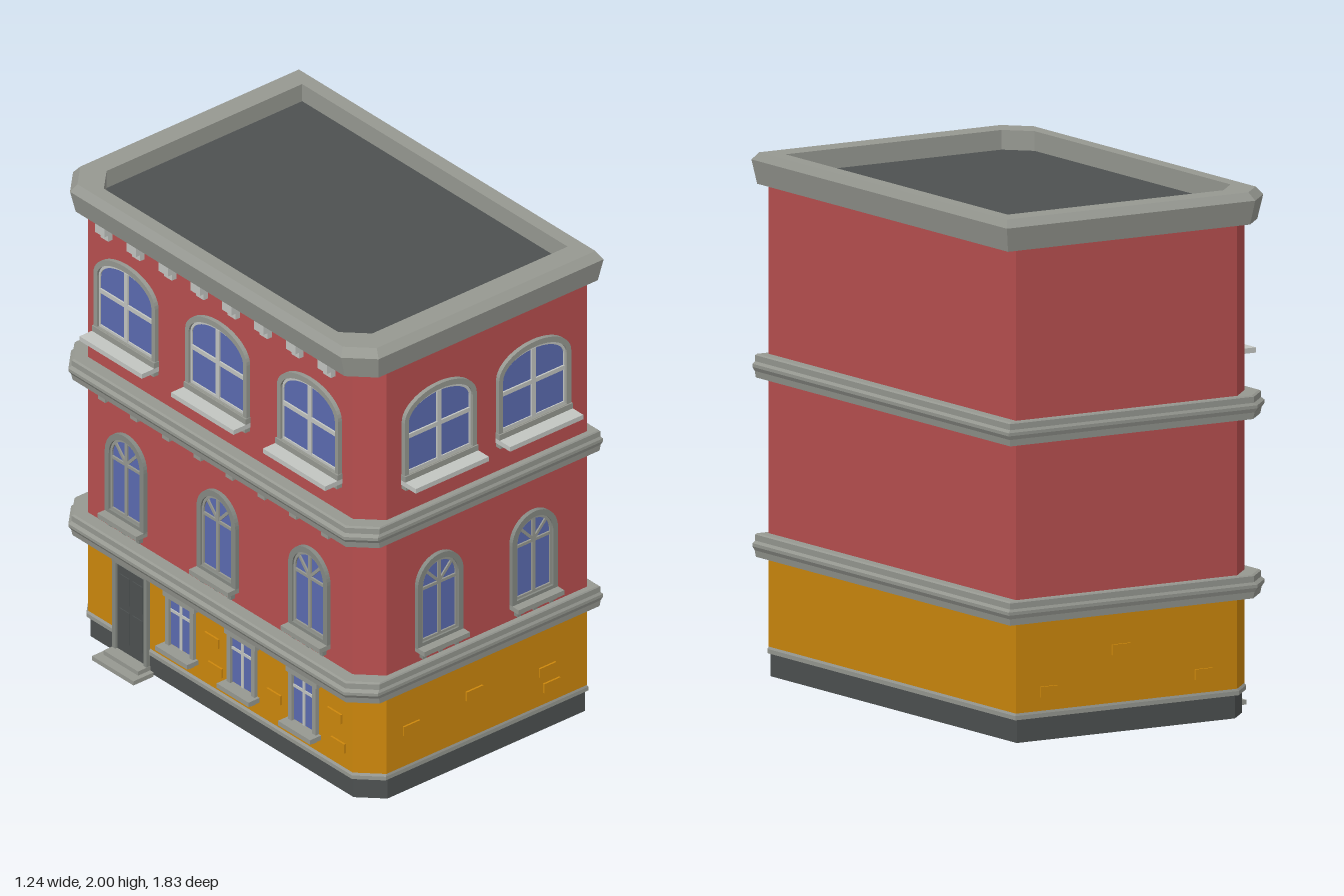
import * as THREE from 'three';

const mat = (name, color) => {
  const m = new THREE.MeshStandardMaterial({ color });
  m.name = name;
  return m;
};

export function createModel() {
  const brick = mat('red brick', 0xb84f4f);
  const ochre = mat('ochre render', 0xcc870c);
  const stone = mat('grey stone', 0x969891);
  const pale = mat('pale stone', 0xc2c5c1);
  const frameGrey = mat('frame grey', 0x858983);
  const dark = mat('dark slate', 0x4d5151);
  const glass = mat('blue glass', 0x5b6bb0);

  const model = new THREE.Group();
  model.name = 'cornerBuilding';

  const add = (parent, name, geo, material, x = 0, y = 0, z = 0) => {
    const m = new THREE.Mesh(geo, material);
    m.name = name;
    m.position.set(x, y, z);
    parent.add(m);
    return m;
  };
  const box = (parent, name, material, w, h, d, x, y, z) =>
    add(parent, name, new THREE.BoxGeometry(w, h, d), material, x, y, z);

  // Floor plan: a rectangle with both corners on the -x side cut off
  const plan = (x0, x1, z0, z1, c = 0.09) => [
    [x0 + c, z1], [x1, z1], [x1, z0], [x0 + c, z0], [x0, z0 + c], [x0, z1 - c],
  ];
  const X0 = -0.52, X1 = 0.557, Z0 = -0.88, Z1 = 0.83;
  const grow = (o) => plan(X0 - o, X1 + o * 0.75, Z0 - o * 0.45, Z1 + o * 0.45);

  // Flat-shaded skin through plans at given heights: [plan, y]
  const loft = (name, material, sections) => {
    const pos = [];
    for (let s = 0; s < sections.length - 1; s++) {
      const [p, y0] = sections[s], [q, y1] = sections[s + 1];
      for (let i = 0; i < p.length; i++) {
        const j = (i + 1) % p.length;
        const a = [p[i][0], y0, p[i][1]], b = [p[j][0], y0, p[j][1]];
        const c = [q[j][0], y1, q[j][1]], d = [q[i][0], y1, q[i][1]];
        pos.push(...a, ...b, ...c, ...a, ...c, ...d);
      }
    }
    const g = new THREE.BufferGeometry();
    g.setAttribute('position', new THREE.Float32BufferAttribute(pos, 3));
    g.computeVertexNormals();
    return add(model, name, g, material);
  };
  const ring = (name, material, profile) =>
    loft(name, material, profile.map(([o, y]) => [grow(o), y]));
  const plate = (name, material, pts, y) => {
    const s = new THREE.Shape(pts.map(([x, z]) => new THREE.Vector2(x, -z)));
    const g = new THREE.ExtrudeGeometry(s, { depth: 0.01, bevelEnabled: false });
    add(model, name, g.rotateX(-Math.PI / 2), material, 0, y, 0);
  };

  // Walls and horizontal mouldings; the ground floor is hollow underneath
  ring('plinth', dark, [[-0.02, 0], [-0.008, 0], [-0.008, 0.09], [-0.02, 0.09], [-0.02, 0]]);
  ring('plinthTrim', stone, [[-0.02, 0.088], [0.006, 0.088], [0.006, 0.104], [0, 0.113], [-0.02, 0.113], [-0.02, 0.088]]);
  ring('groundWall', ochre, [[0, 0.1], [0, 0.47], [-0.015, 0.47], [-0.015, 0.1], [0, 0.1]]);
  plate('groundCeiling', dark, grow(-0.005), 0.455);
  for (const [name, y] of [['lowerBand', 0.455], ['upperBand', 1.138]]) {
    ring(name, stone, [[-0.005, y], [0.055, y], [0.06, y + 0.025], [0.07, y + 0.04],
      [0.07, y + 0.052], [0.058, y + 0.062], [0.058, y + 0.085], [0.05, y + 0.09], [-0.005, y + 0.09]]);
  }
  ring('middleWall', brick, [[0, 0.53], [0, 1.15]]);
  ring('topWall', brick, [[0, 1.21], [0, 1.9]]);
  const roofPlan = plan(-0.51, 0.543, -0.8, 0.735);
  loft('cornice', stone, [
    [grow(-0.01), 1.878],
    [plan(-0.568, 0.602, -0.895, 0.84), 1.878],
    [plan(-0.59, 0.618, -0.912, 0.855, 0.1), 1.97],
    [plan(-0.565, 0.602, -0.888, 0.826), 2],
    [roofPlan, 2],
    [roofPlan, 1.92],
  ]);
  plate('roof', dark, roofPlan, 1.915);

  // Arched outline used by frames and panes
  const arch = (Kind, w, y0, spring, top) => {
    const s = new Kind();
    s.moveTo(-w / 2, y0);
    s.lineTo(w / 2, y0);
    s.lineTo(w / 2, spring);
    s.absellipse(0, spring, w / 2, top - spring, 0, Math.PI, false, 0);
    s.closePath();
    return s;
  };
  const archFrame = (g, name, material, outer, inner, depth) => {
    const s = arch(THREE.Shape, ...outer);
    s.holes.push(arch(THREE.Path, ...inner));
    add(g, name, new THREE.ExtrudeGeometry(s, { depth, bevelEnabled: false, curveSegments: 12 }), material);
  };
  const pane = (g, ...a) =>
    add(g, 'pane', new THREE.ShapeGeometry(arch(THREE.Shape, ...a), 12), glass, 0, 0, 0.003);

  // Openings are modelled facing +z, then set on the front or the -x side
  const onFront = (name, x) => {
    const g = new THREE.Group();
    g.name = name;
    g.position.set(x, 0, Z1);
    model.add(g);
    return g;
  };
  const onSide = (name, z) => {
    const g = onFront(name, 0);
    g.position.set(X0, 0, z);
    g.rotation.y = -Math.PI / 2;
    return g;
  };

  const topWindow = (g) => {
    archFrame(g, 'frame', stone, [0.355, 1.375, 1.63, 1.738], [0.315, 1.4, 1.625, 1.715], 0.018);
    archFrame(g, 'innerFrame', pale, [0.317, 1.4, 1.625, 1.716], [0.3, 1.41, 1.62, 1.702], 0.008);
    pane(g, 0.31, 1.4, 1.622, 1.71);
    box(g, 'mullion', pale, 0.02, 0.3, 0.008, 0, 1.553, 0.006);
    box(g, 'transom', pale, 0.305, 0.018, 0.008, 0, 1.56, 0.006);
    box(g, 'sill', pale, 0.36, 0.02, 0.085, 0, 1.365, 0.042);
    box(g, 'sillApron', stone, 0.355, 0.025, 0.025, 0, 1.35, 0.012);
    box(g, 'sillUpstand', stone, 0.36, 0.024, 0.024, 0, 1.387, 0.012);
  };

  const middleWindow = (g) => {
    archFrame(g, 'frame', frameGrey, [0.225, 0.612, 0.878, 0.992], [0.178, 0.632, 0.878, 0.968], 0.018);
    archFrame(g, 'innerFrame', stone, [0.18, 0.63, 0.878, 0.969], [0.16, 0.642, 0.876, 0.956], 0.01);
    pane(g, 0.17, 0.635, 0.876, 0.96);
    box(g, 'mullion', stone, 0.014, 0.325, 0.008, 0, 0.797, 0.006);
    box(g, 'transom', stone, 0.165, 0.012, 0.008, 0, 0.862, 0.006);
    for (const s of [-1, 1]) {
      box(g, 'fanBar', stone, 0.012, 0.1, 0.007, s * 0.033, 0.9, 0.006).rotation.z = -s * 0.75;
    }
    box(g, 'sill', stone, 0.225, 0.02, 0.055, 0, 0.607, 0.027);
    for (const x of [-0.08, 0, 0.08]) {
      box(g, 'sillBracket', frameGrey, 0.024, 0.018, 0.035, x, 0.588, 0.0175);
      box(g, 'sillBracketFoot', frameGrey, 0.018, 0.018, 0.02, x, 0.57, 0.01);
    }
  };

  const groundWindow = (g) => {
    box(g, 'pane', glass, 0.13, 0.21, 0.004, 0, 0.3, 0.002);
    for (const s of [-1, 1]) {
      box(g, 'jamb', stone, 0.02, 0.22, 0.016, s * 0.07, 0.3, 0.008);
      box(g, 'sillBracket', stone, 0.025, 0.022, 0.02, s * 0.055, 0.16, 0.01);
    }
    box(g, 'lintel', stone, 0.18, 0.024, 0.02, 0, 0.412, 0.01);
    box(g, 'mullion', pale, 0.014, 0.21, 0.008, 0, 0.3, 0.004);
    box(g, 'transom', pale, 0.13, 0.012, 0.008, 0, 0.345, 0.004);
    box(g, 'sill', stone, 0.185, 0.02, 0.055, 0, 0.181, 0.027);
  };

  for (const x of [-0.178, 0.287]) {
    topWindow(onFront('topFrontWindow', x));
    middleWindow(onFront('middleFrontWindow', x));
  }
  for (const z of [-0.56, -0.03, 0.5]) {
    topWindow(onSide('topSideWindow', z));
    middleWindow(onSide('middleSideWindow', z));
  }
  for (const z of [-0.245, 0.11, 0.465]) groundWindow(onSide('groundSideWindow', z));

  // Entrance with two steps
  const door = onSide('entrance', -0.53);
  box(door, 'doorLeaf', dark, 0.17, 0.38, 0.008, 0, 0.22, 0.004);
  for (const s of [-1, 1]) {
    box(door, 'doorJamb', frameGrey, 0.018, 0.4, 0.018, s * 0.09, 0.225, 0.009);
    box(door, 'doorPanel', dark, 0.055, 0.14, 0.005, s * 0.038, 0.15, 0.009);
    box(door, 'doorPanel', dark, 0.055, 0.12, 0.005, s * 0.038, 0.31, 0.009);
  }
  box(door, 'doorHead', frameGrey, 0.2, 0.018, 0.02, 0, 0.425, 0.01);
  box(door, 'lowerStep', stone, 0.24, 0.018, 0.1, 0, 0.009, 0.05);
  box(door, 'upperStep', stone, 0.2, 0.018, 0.06, 0, 0.027, 0.03);

  // Small brackets under the cornice and the upper band, on the street side
  for (let i = 0; i < 8; i++) {
    const g = onSide('eavesBracket', -0.67 + i * 0.184);
    box(g, 'bracketHead', pale, 0.055, 0.04, 0.045, 0, 1.858, 0.0225);
    box(g, 'bracketFoot', pale, 0.045, 0.03, 0.022, 0, 1.823, 0.011);
    box(g, 'bandBracket', stone, 0.04, 0.035, 0.035, 0, 1.121, 0.0175);
  }

  // Bricks standing proud of the ground floor render
  const proud = (g, y) => box(g, 'proudBrick', ochre, 0.08, 0.04, 0.034, 0, y, -0.009);
  for (const [x, y] of [[-0.31, 0.27], [0.0, 0.3], [0.36, 0.26], [0.38, 0.185]]) proud(onFront('frontBrick', x), y);
  for (const [z, y] of [[-0.07, 0.32], [-0.05, 0.2], [0.29, 0.24], [0.64, 0.32], [0.66, 0.2]]) proud(onSide('sideBrick', z), y);
  for (const [x, y] of [[0.41, 0.185], [0.09, 0.315], [-0.28, 0.185]]) {
    const g = onFront('backBrick', x);
    g.position.z = Z0;
    g.rotation.y = Math.PI;
    proud(g, y);
  }

  return model;
}
